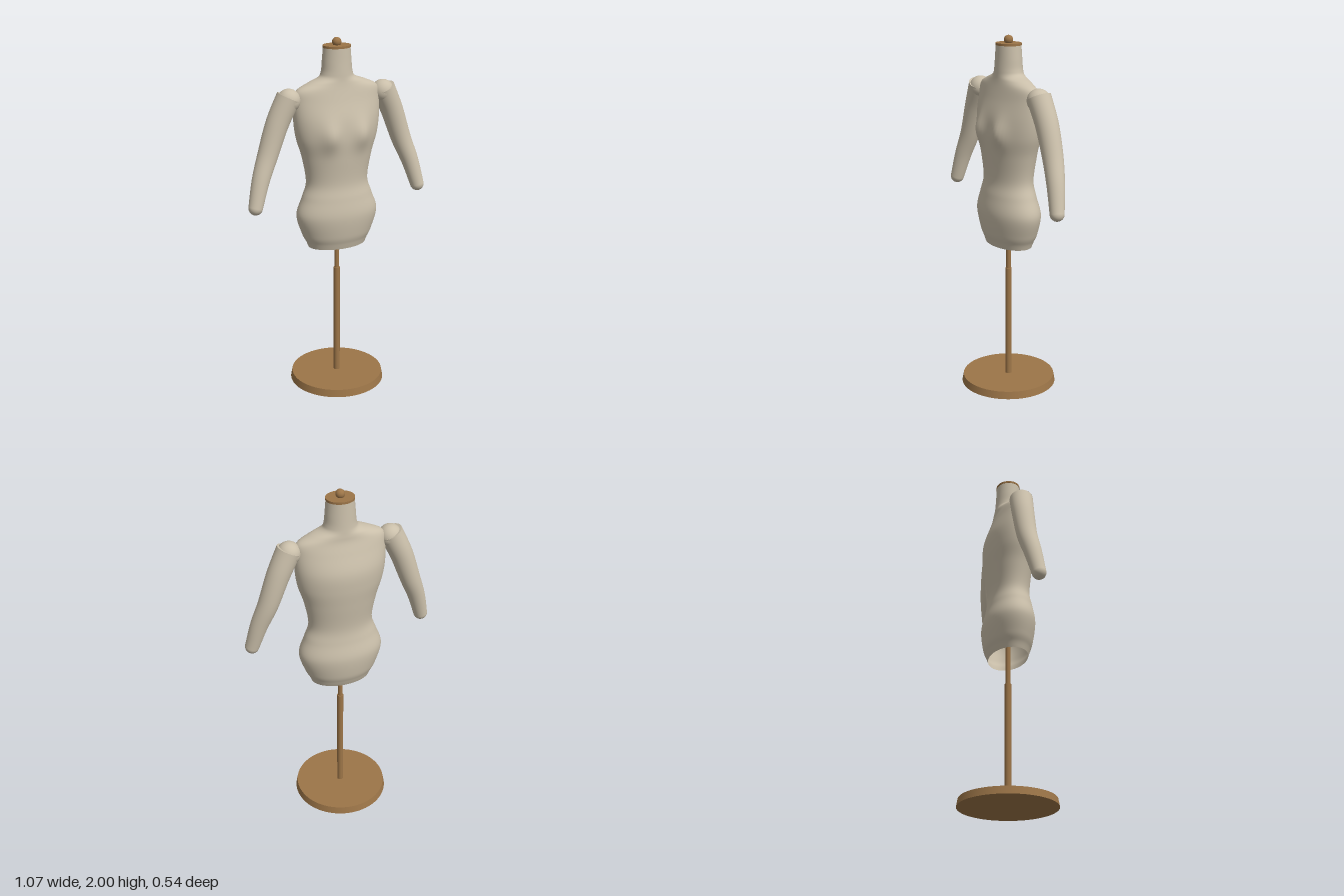
import * as THREE from 'three';

const V = (x, y, z) => new THREE.Vector3(x, y, z);
const fabric = new THREE.MeshStandardMaterial({ color: 0xcabfaa, side: THREE.DoubleSide });
const wood = new THREE.MeshStandardMaterial({ color: 0x9c7548 });

function add(parent, name, geometry, material, x = 0, y = 0, z = 0) {
  const mesh = new THREE.Mesh(geometry, material);
  mesh.name = name;
  mesh.position.set(x, y, z);
  parent.add(mesh);
  return mesh;
}

// Cross-sections of the torso: height, half width, front depth, back depth
const SECTIONS = [
  [0.84, 0.17, 0.106, 0.106],
  [0.87, 0.182, 0.115, 0.118],
  [0.92, 0.207, 0.13, 0.134],
  [1.03, 0.238, 0.143, 0.143],
  [1.13, 0.206, 0.13, 0.122],
  [1.22, 0.18, 0.116, 0.112],
  [1.36, 0.203, 0.126, 0.127],
  [1.47, 0.236, 0.135, 0.138],
  [1.57, 0.25, 0.127, 0.136],
  [1.67, 0.25, 0.1, 0.105],
  [1.73, 0.237, 0.085, 0.085],
  [1.765, 0.17, 0.078, 0.08],
  [1.79, 0.105, 0.075, 0.077],
  [1.82, 0.087, 0.073, 0.074],
  [1.88, 0.081, 0.069, 0.07],
  [1.95, 0.075, 0.066, 0.066],
];

// Open shell lofted through the sections, with two soft bumps for the bust
function torsoGeometry(rows = 110, sides = 72) {
  const width = new THREE.CatmullRomCurve3(SECTIONS.map(s => V(s[1], s[0], 0)), false, 'catmullrom');
  const depth = new THREE.CatmullRomCurve3(SECTIONS.map(s => V(s[2], s[0], s[3])), false, 'catmullrom');
  const positions = [], index = [];
  for (let r = 0; r <= rows; r++) {
    const w = width.getPoint(r / rows), d = depth.getPoint(r / rows);
    for (let i = 0; i < sides; i++) {
      const a = (i / sides) * Math.PI * 2;
      const x = w.x * Math.sin(a), c = Math.cos(a);
      let z = c * (c > 0 ? d.x : d.z);
      if (c > 0) {
        const bump = Math.exp(-(((Math.abs(x) - 0.095) / 0.05) ** 2) - (((w.y - 1.49) / 0.075) ** 2));
        z += 0.026 * bump;
      }
      positions.push(x, w.y, z);
      if (r < rows) {
        const j = (i + 1) % sides, p = r * sides, q = p + sides;
        index.push(p + i, p + j, q + j, p + i, q + j, q + i);
      }
    }
  }
  const g = new THREE.BufferGeometry();
  g.setAttribute('position', new THREE.Float32BufferAttribute(positions, 3));
  g.setIndex(index);
  g.computeVertexNormals();
  return g;
}

// Tube whose radius follows a rule along its length
function taperedTube(path, radiusAt, steps, sides) {
  const g = new THREE.TubeGeometry(path, steps, 1, sides);
  const pos = g.attributes.position, v = new THREE.Vector3();
  for (let i = 0; i <= steps; i++) {
    const centre = path.getPointAt(i / steps), r = radiusAt(i / steps);
    for (let j = 0; j <= sides; j++) {
      const k = i * (sides + 1) + j;
      v.fromBufferAttribute(pos, k).sub(centre).multiplyScalar(r).add(centre);
      pos.setXYZ(k, v.x, v.y, v.z);
    }
  }
  return g;
}

function createArm(side) {
  const arm = new THREE.Group();
  arm.name = side > 0 ? 'leftArm' : 'rightArm';
  const path = new THREE.CatmullRomCurve3([
    V(0.28, 1.705, 0), V(0.342, 1.575, -0.007), V(0.405, 1.40, -0.004),
    V(0.455, 1.27, 0.013), V(0.495, 1.13, 0.032),
  ].map(p => V(p.x * side, p.y, p.z)));
  const radii = t => THREE.MathUtils.lerp(0.066, 0.039, t) + 0.004 * Math.sin(Math.PI * t);

  add(arm, 'armTube', taperedTube(path, radii, 40, 36), fabric);
  add(arm, 'shoulderBall', new THREE.SphereGeometry(0.063, 36, 24), fabric, 0.28 * side, 1.686, 0);
  const end = path.getPointAt(1);
  add(arm, 'armTip', new THREE.SphereGeometry(0.039, 32, 20), fabric, end.x, end.y, end.z);

  // Flat cut at the top of the arm
  const start = path.getPointAt(0);
  const cut = add(arm, 'armTopCut', new THREE.CircleGeometry(0.066, 36), fabric, start.x, start.y, start.z);
  cut.lookAt(start.clone().sub(path.getTangentAt(0)));
  return arm;
}

export function createModel() {
  const model = new THREE.Group();
  model.name = 'dressForm';

  // Stand: tapered disc and telescopic pole
  add(model, 'base', new THREE.CylinderGeometry(0.262, 0.27, 0.042, 72), wood, 0, 0.021, 0);
  add(model, 'lowerPole', new THREE.CylinderGeometry(0.018, 0.018, 0.66, 28), wood, 0, 0.36, 0);
  add(model, 'upperPole', new THREE.CylinderGeometry(0.013, 0.013, 1.25, 28), wood, 0, 1.315, 0);

  // Body
  add(model, 'torso', torsoGeometry(), fabric);
  for (const side of [1, -1]) model.add(createArm(side));

  // Neck cap with knob
  const cap = add(model, 'neckCap', new THREE.CylinderGeometry(0.077, 0.077, 0.012, 56), wood, 0, 1.953, 0);
  cap.scale.z = 0.88;
  add(model, 'knob', new THREE.SphereGeometry(0.025, 28, 20), wood, 0, 1.975, 0);
  return model;
}
